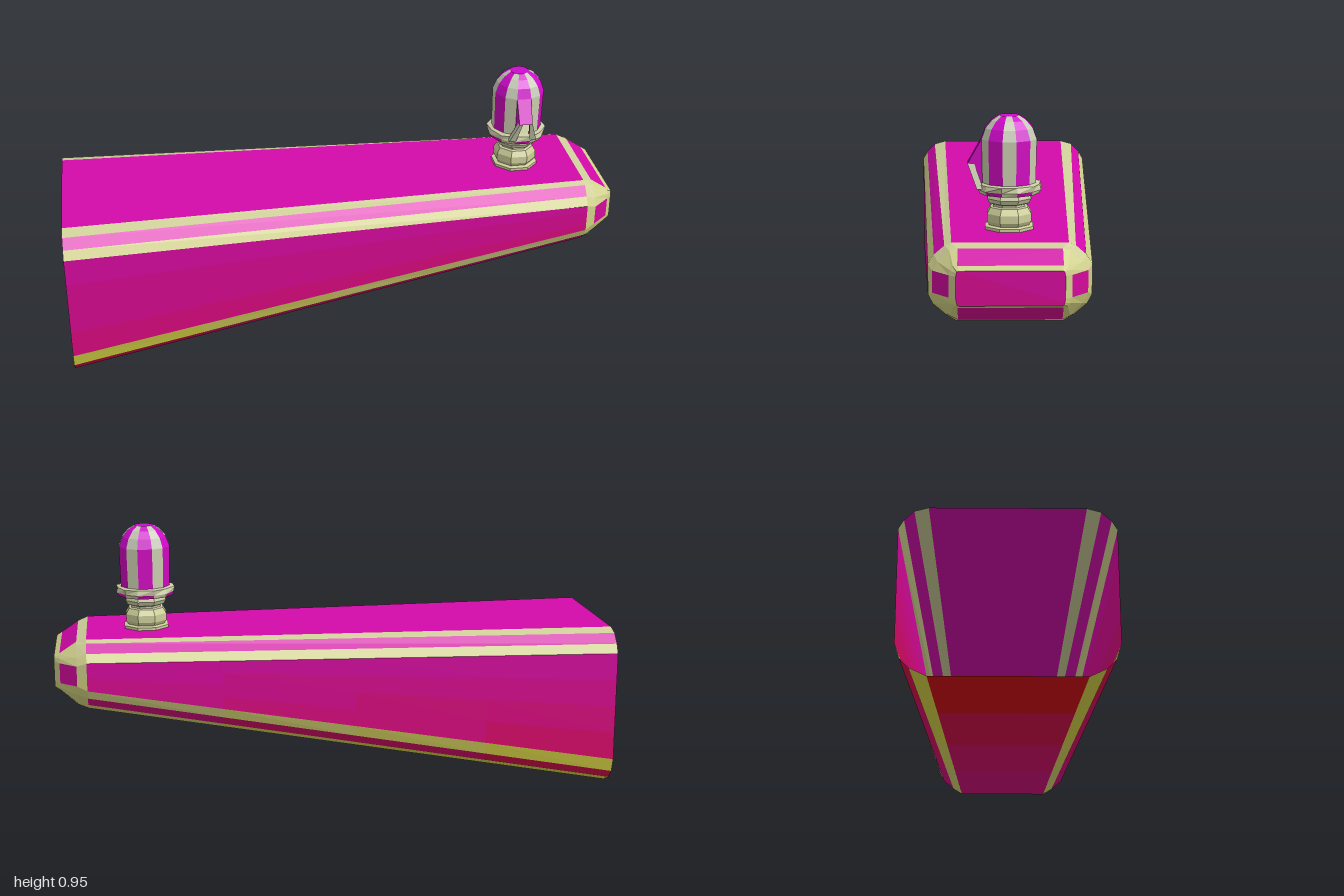
import * as THREE from 'three';

// Colours shift with height: panels red to magenta, trim yellow to pale grey.
const RAMP = {
  panel: [new THREE.Color(0xd80812), new THREE.Color(0xd00ad0)],
  trim: [new THREE.Color(0xdcd818), new THREE.Color(0xc6cabc)],
};
const STEP = 0.1;

// Collects faces by colour band and turns them into flat shaded meshes.
function facetSet(name) {
  const bands = {};
  const mix = (p, q, t) => p.map((v, i) => v + (q[i] - v) * t);
  const tri = (a, b, c, kind, y) => {
    const key = `${kind} ${Math.max(0, Math.round(y / STEP))}`;
    (bands[key] ??= []).push(...a, ...b, ...c);
  };
  return {
    tri: (a, b, c, kind) => tri(a, b, c, kind, (a[1] + b[1] + c[1]) / 3),
    // Four-sided face, split where it spans several height bands.
    quad(a, b, c, d, kind) {
      const n = Math.max(1, Math.ceil(Math.abs(a[1] - b[1]) / STEP));
      const m = Math.max(1, Math.ceil(Math.abs(a[1] - d[1]) / STEP));
      const at = (u, v) => mix(mix(a, b, u / n), mix(d, c, u / n), v / m);
      for (let i = 0; i < n; i++) for (let j = 0; j < m; j++) {
        const p = at(i, j), q = at(i + 1, j), r = at(i + 1, j + 1), s = at(i, j + 1);
        const y = (p[1] + q[1] + r[1] + s[1]) / 4;
        tri(p, q, r, kind, y);
        tri(p, r, s, kind, y);
      }
    },
    // Joins closed rings; kindAt(ring, side) gives the colour, or null for a gap.
    loft(rings, kindAt) {
      for (let i = 0; i + 1 < rings.length; i++) rings[i].forEach((p, j) => {
        const k = (j + 1) % rings[i].length, kind = kindAt(i, j);
        if (kind) this.quad(p, rings[i][k], rings[i + 1][k], rings[i + 1][j], kind);
      });
    },
    cap(ring, kind) {
      for (let j = 1; j + 1 < ring.length; j++) this.tri(ring[0], ring[j], ring[j + 1], kind);
    },
    build() {
      const group = new THREE.Group();
      group.name = name;
      for (const [key, pos] of Object.entries(bands)) {
        const [kind, level] = key.split(' ');
        const geo = new THREE.BufferGeometry();
        geo.setAttribute('position', new THREE.Float32BufferAttribute(pos, 3));
        geo.computeVertexNormals();
        const color = RAMP[kind][0].clone().lerp(RAMP[kind][1], Math.min(1, level * STEP / 0.95));
        const mesh = new THREE.Mesh(geo, new THREE.MeshStandardMaterial({
          color, flatShading: true, side: THREE.DoubleSide }));
        mesh.name = `${name}${kind === 'trim' ? 'Trim' : 'Panel'}${level}`;
        group.add(mesh);
      }
      return group;
    },
  };
}

// Tapered beam, open at the wide end, with bevelled edges and a chamfered nose.
function makeBeam() {
  const set = facetSet('beam');
  // Half sections [z, y], from the top edge down to the bottom edge.
  const sections = [
    [-1, [[.25, .585], [.295, .572], [.327, .54], [.345, .508], [.345, .11], [.33, .06], [.3, .027], [.245, 0]]],
    [.885, [[.185, .583], [.207, .574], [.24, .545], [.26, .515], [.26, .415], [.245, .385], [.205, .35], [.17, .328]]],
    [.92, [[.165, .572], [.19, .566], [.228, .53], [.245, .502], [.245, .43], [.228, .395], [.19, .355], [.165, .342]]],
    [.98, [[.165, .532], [.178, .529], [.187, .518], [.192, .502], [.192, .43], [.187, .412], [.178, .401], [.165, .397]]],
    [1, [[.16, .52], [.166, .518], [.168, .512], [.17, .502], [.17, .43], [.168, .418], [.166, .411], [.16, .408]]],
  ];
  const rings = sections.map(([x, half]) => [
    ...half.map(([z, y]) => [x, y, z]),
    ...half.slice().reverse().map(([z, y]) => [x, y, -z]),
  ]);
  const bevelPanels = [1, 3, 5, 7, 9, 11, 13, 15];
  const nosePanels = [3, 7, 11, 15];
  set.loft(rings, (i, j) => {
    const panels = i === 0 ? bevelPanels : i === 2 ? nosePanels : [];
    return panels.includes(j) ? 'panel' : 'trim';
  });
  set.cap(rings[4], 'panel');
  return set.build();
}

// Ring of points around the upright axis of the finial.
const ringAt = (y, r, angles) => angles.map((t, j) => {
  const rad = Array.isArray(r) ? r[j % r.length] : r;
  return [rad * Math.cos(t), y, -rad * Math.sin(t)];
});
const evenAngles = (n, start = 0) => Array.from({ length: n }, (_, i) => start + i * 2 * Math.PI / n);

// Stem of stacked faceted collars.
function makeStem() {
  const set = facetSet('stem');
  const profile = [[.58, .085], [.593, .085], [.597, .07], [.61, .078], [.635, .078], [.655, .066],
    [.658, .056], [.665, .056], [.67, .07], [.685, .078], [.702, .072]];
  const rings = profile.map(([y, r]) => ringAt(y, r, evenAngles(8, Math.PI / 8)));
  set.loft(rings, () => 'trim');
  set.cap(rings.at(-1), 'trim');
  return set.build();
}

// Ribbed bulb with a toothed flange and a pointed plate on the +z side.
function makeBulb() {
  const set = facetSet('bulb');
  const ribHalf = 0.24;
  const angles = evenAngles(6).flatMap(t => [t - ribHalf, t + ribHalf]);
  const kindOf = j => (j % 2 ? 'panel' : 'trim');
  const frontPanel = 9;

  // Flange
  const flange = [
    ringAt(.7, .06, angles), ringAt(.702, [.1, .1], angles),
    ringAt(.715, [.104, .108], angles), ringAt(.733, [.108, .102], angles),
    ringAt(.738, .085, angles),
  ];
  set.loft(flange, (i, j) => (i === 1 ? kindOf(j) : 'trim'));
  set.cap(flange[4], 'trim');

  // Ribbed shell, leaving the lower front panel open
  const shell = [[.733, .09], [.88, .093], [.915, .08], [.94, .058], [.955, .034]]
    .map(([y, r]) => ringAt(y, r, angles));
  set.loft(shell, (i, j) => (i === 0 && j === frontPanel ? null : kindOf(j)));
  set.cap(shell[4], 'panel');

  // Pointed front plate with side cheeks and thin jaw struts
  const top = [shell[1][frontPanel], shell[1][frontPanel + 1]].sort((a, b) => a[0] - b[0]);
  const low = [shell[0][frontPanel], shell[0][frontPanel + 1]].sort((a, b) => a[0] - b[0]);
  const tip = [[-.024, .8, .135], [.024, .8, .135]];
  set.quad(top[0], tip[0], tip[1], top[1], 'panel');
  set.tri(top[0], low[0], tip[0], 'panel');
  set.tri(top[1], tip[1], low[1], 'panel');
  const strutFoot = [[-.05, .72, .105], [.05, .72, .105]];
  for (const s of [0, 1]) {
    const back = p => [p[0], p[1], p[2] - .022];
    const inner = p => [p[0] * .5, p[1], p[2]];
    const f = strutFoot[s], t = tip[s];
    set.quad(back(t), back(f), f, t, 'trim');
    set.quad(t, f, inner(f), inner(t), 'trim');
  }
  return set.build();
}

export function createModel() {
  const model = new THREE.Group();
  model.name = 'beamWithFinial';
  const finial = new THREE.Group();
  finial.name = 'finial';
  finial.add(makeStem(), makeBulb());
  finial.position.x = 0.67;
  model.add(makeBeam(), finial);
  return model;
}
